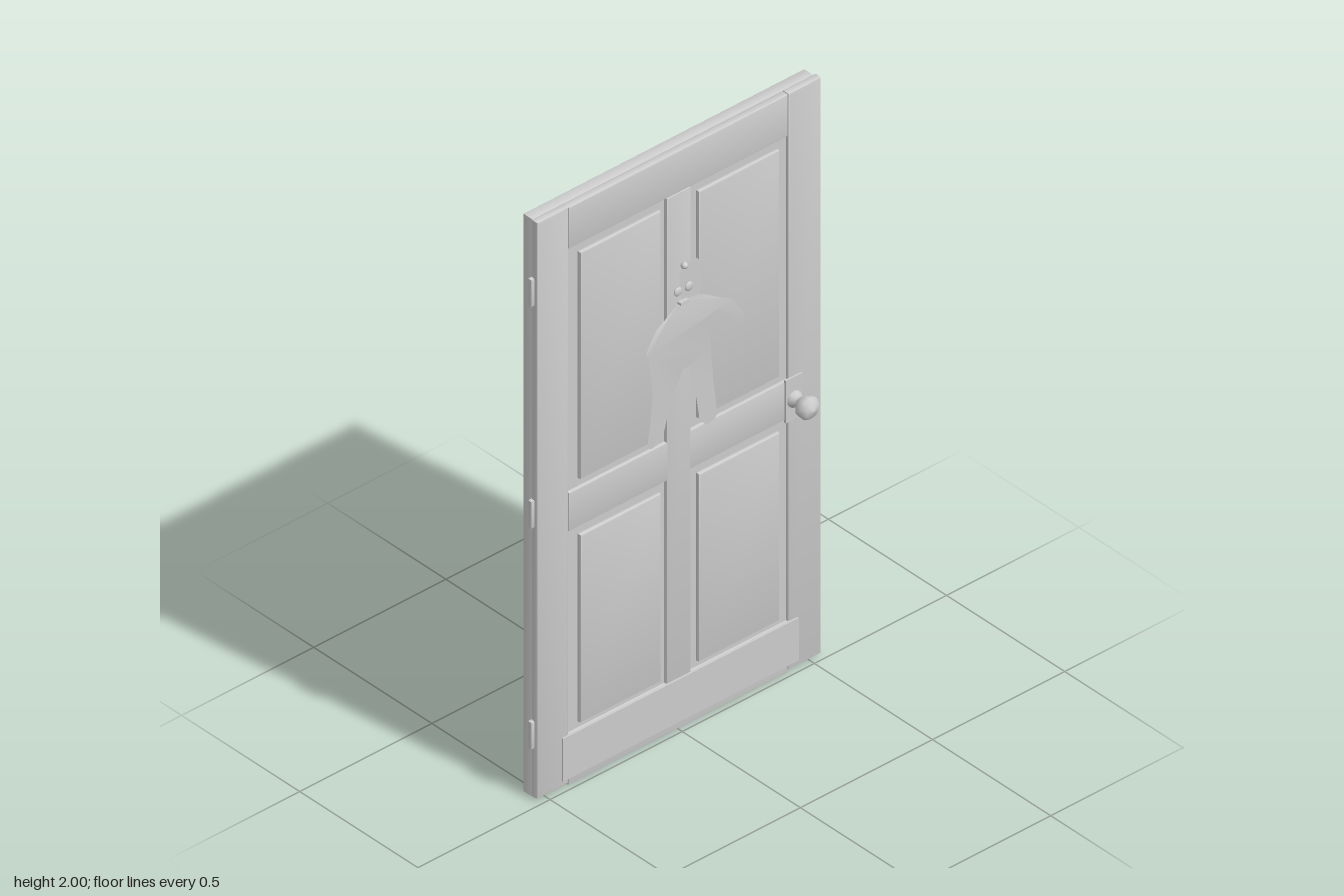
import * as THREE from 'three';
import { toCreasedNormals } from 'three/addons/utils/BufferGeometryUtils.js';

export function createModel() {
  const door = new THREE.Group();
  door.name = 'door';
  const grey = new THREE.MeshStandardMaterial({ color: 0xcccccc, side: THREE.DoubleSide });
  grey.name = 'plain grey';

  function add(name, geometry) {
    const mesh = new THREE.Mesh(geometry, grey);
    mesh.name = name;
    door.add(mesh);
    return mesh;
  }

  // Board between two corners, with chamfered edges
  function board(name, x0, x1, y0, y1, z0, z1, bevel) {
    const b = bevel;
    const shape = new THREE.Shape([
      new THREE.Vector2(x0 + b, y0 + b), new THREE.Vector2(x1 - b, y0 + b),
      new THREE.Vector2(x1 - b, y1 - b), new THREE.Vector2(x0 + b, y1 - b),
    ]);
    const g = new THREE.ExtrudeGeometry(shape, {
      depth: z1 - z0 - 2 * b, bevelEnabled: b > 0, bevelSize: b, bevelThickness: b, bevelSegments: 2,
    });
    g.translate(0, 0, z0 + b);
    return add(name, toCreasedNormals(g, 0.7));
  }

  // Back slab and the recessed ground behind the panels
  board('backSlab', -0.528, 0.534, 0.004, 1.996, -0.083, -0.043, 0.004);
  board('panelGround', -0.43, 0.43, 0.03, 1.97, -0.045, -0.026, 0);

  // Frame: stiles, rails and centre mullion
  board('leftStile', -0.534, -0.415, 0.012, 2, -0.043, -0.015, 0.007);
  board('rightStile', 0.416, 0.54, 0.012, 2, -0.043, -0.015, 0.007);
  board('topRail', -0.415, 0.416, 1.853, 1.997, -0.043, -0.016, 0.006);
  board('middleRail', -0.415, 0.416, 0.88, 1.013, -0.043, -0.015, 0.005);
  board('bottomRail', -0.415, 0.416, 0.004, 0.18, -0.043, -0.016, 0.006);
  board('centreMullion', -0.045, 0.046, 0.18, 1.855, -0.043, -0.014, 0.005);

  // Four raised panels
  for (const [x0, x1] of [[-0.374, -0.068], [0.074, 0.38]]) {
    board('upperPanel', x0, x1, 1.042, 1.825, -0.03, -0.011, 0.007);
    board('lowerPanel', x0, x1, 0.202, 0.85, -0.03, -0.011, 0.007);
  }

  // Kick plate and lock plate
  board('kickPlate', -0.442, 0.449, 0.034, 0.181, -0.018, -0.009, 0);
  board('lockPlate', 0.4, 0.463, 0.874, 1.02, -0.016, -0.009, 0);

  // Hinges along the left edge
  for (const y of [0.228, 0.99, 1.755]) {
    board('hinge', -0.546, -0.525, y - 0.047, y + 0.047, -0.044, -0.028, 0.004);
  }

  // Knob: flared neck and rounded ball turned about z
  const profile = [
    [0.027, -0.01], [0.026, 0], [0.018, 0.012], [0.02, 0.024], [0.036, 0.036],
    [0.037, 0.058], [0.026, 0.07], [0, 0.078],
  ].map(([r, z]) => new THREE.Vector2(r, z));
  const knob = add('knob', new THREE.LatheGeometry(profile, 10).rotateX(Math.PI / 2));
  knob.position.set(0.431, 0.946, 0);

  // Thin cut-out figure, its sides curling away from the door
  const bend = (x, y) => {
    const middle = Math.max(0.25, 1 - Math.abs(y - 1.38) / 0.45);
    return -0.006 + x * x * (x < 0 ? 0.85 : 0.34) * middle;
  };
  function cutout(name, points) {
    const shape = new THREE.Shape(points.map(([x, y]) => new THREE.Vector2(x, y)));
    const g = new THREE.ShapeGeometry(shape);
    const p = g.attributes.position;
    for (let i = 0; i < p.count; i++) p.setZ(i, bend(p.getX(i), p.getY(i)));
    g.computeVertexNormals();
    return add(name, g);
  }
  cutout('figureBody', [
    [0, 1.49], [-0.035, 1.465], [-0.1, 1.435], [-0.15, 1.38], [-0.136, 1.365], [-0.125, 1.29],
    [-0.113, 1.225], [-0.118, 1.14], [-0.13, 1.045], [-0.115, 1.03], [-0.09, 1.033], [-0.066, 1.06],
    [-0.035, 1.17], [0.008, 1.247], [0.03, 1.245], [0.055, 1.145], [0.072, 1.04], [0.098, 1.013],
    [0.125, 1.02], [0.137, 1.035], [0.12, 1.165], [0.11, 1.28], [0.115, 1.39], [0.14, 1.395],
    [0.165, 1.38], [0.21, 1.325], [0.23, 1.34], [0.215, 1.375], [0.18, 1.415], [0.135, 1.44],
    [0.09, 1.47], [0.065, 1.48],
  ]);
  cutout('figureHead', [
    [0.005, 1.475], [-0.005, 1.53], [-0.005, 1.575], [0.008, 1.608], [0.06, 1.608],
    [0.078, 1.585], [0.08, 1.51], [0.065, 1.475],
  ]);

  // Face details: tip ball, eyes and mouth
  const ball = add('figureTip', new THREE.SphereGeometry(0.011, 12, 8));
  ball.position.set(0.004, 1.613, 0.005);
  for (const x of [-0.014, 0.027]) {
    const eye = add('figureEye', new THREE.SphereGeometry(0.015, 12, 8));
    eye.scale.z = 0.4;
    eye.position.set(x, 1.527, -0.002);
  }
  board('figureMouth', -0.012, 0.02, 1.482, 1.49, -0.006, 0.008, 0);

  return door;
}
